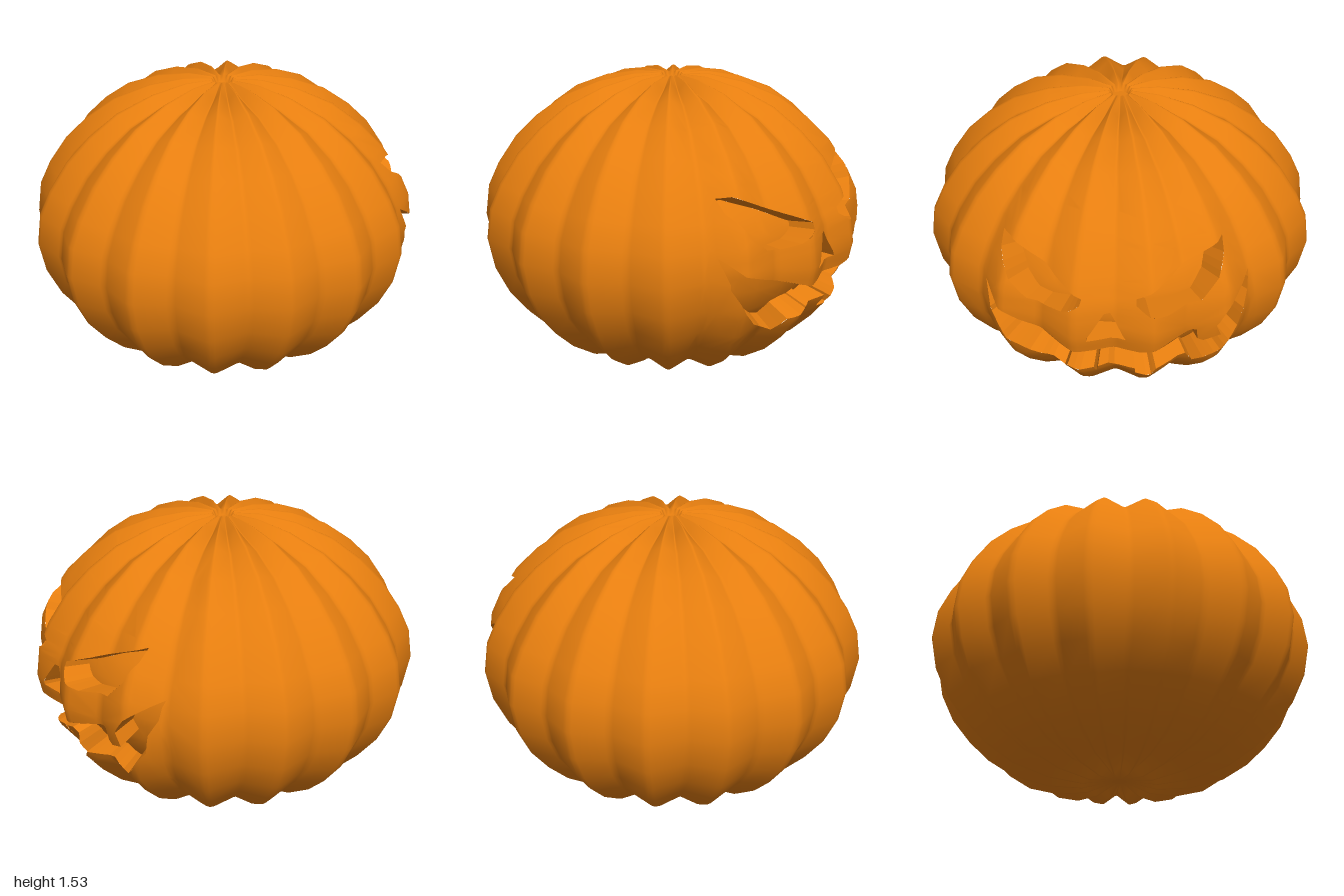
import * as THREE from 'three';

const MID = 0.75, H = Math.PI / 16, FLOOR = 0.83;
// Ridge profile from bottom to top: radius, height
const PROFILE = [[0.04, 0.03], [0.2, 0], [0.38, 0.02], [0.57, 0.085], [0.71, 0.18], [0.82, 0.29], [0.92, 0.42],
  [0.99, 0.57], [1.022, 0.74], [1.0, 0.9], [0.94, 1.03], [0.84, 1.18], [0.72, 1.3], [0.57, 1.41],
  [0.38, 1.49], [0.2, 1.53], [0.06, 1.53], [0.04, 1.495]];
const LAST = PROFILE.length - 1;

// Carved outlines in (z, y), seen from +x
const CARVINGS = {
  leftEye: [[0.54, 1.12], [0.5, 1.13], [0.15, 0.95], [0.16, 0.92], [0.25, 0.87], [0.34, 0.855], [0.42, 0.87], [0.51, 0.95], [0.55, 1.06]],
  rightEye: [[-0.51, 1.14], [-0.49, 1.13], [-0.11, 0.95], [-0.11, 0.92], [-0.18, 0.87], [-0.26, 0.855], [-0.42, 0.88], [-0.5, 0.98], [-0.52, 1.08]],
  nose: [[0.045, 0.86], [0.015, 0.86], [-0.06, 0.71], [0.13, 0.71], [0.13, 0.73]],
  mouth: [[0.635, 0.87], [0.57, 0.78], [0.35, 0.695], [0.19, 0.635], [-0.13, 0.635], [-0.385, 0.705], [-0.405, 0.7],
    [-0.41, 0.63], [-0.44, 0.615], [-0.525, 0.65], [-0.5, 0.72], [-0.555, 0.81], [-0.65, 0.92], [-0.65, 0.82],
    [-0.61, 0.63], [-0.53, 0.5], [-0.39, 0.38], [-0.385, 0.42], [-0.355, 0.485], [-0.21, 0.46], [-0.185, 0.42],
    [-0.19, 0.38], [-0.105, 0.38], [-0.105, 0.455], [0, 0.45], [0.03, 0.475], [0.08, 0.46], [0.09, 0.39],
    [0.1, 0.46], [0.235, 0.445], [0.255, 0.37], [0.43, 0.47], [0.54, 0.57], [0.61, 0.71]],
};

const clamp = THREE.MathUtils.clamp, lerp = THREE.MathUtils.lerp;

// Rib scale: valleys at multiples of 22.5 degrees, ridges between
function lobe(a) {
  const v = a / (2 * H), f = v - Math.floor(v);
  return 0.93 + 0.07 * clamp(1 - Math.abs(2 * f - 1), 0.06, 0.94);
}

// Surface point at azimuth a and profile position t
function point(a, t, scale) {
  t = clamp(t, 0, LAST);
  const i = Math.min(Math.floor(t), LAST - 1);
  const r = lerp(PROFILE[i][0], PROFILE[i + 1][0], t - i), y = lerp(PROFILE[i][1], PROFILE[i + 1][1], t - i);
  const s = scale ?? lerp(1, lobe(a), clamp((r - 0.04) / 0.16, 0, 1));
  return new THREE.Vector3(r * s * Math.cos(a), MID + (y - MID) * s, r * s * Math.sin(a));
}

function normal(a, t, scale) {
  const da = point(a + 0.025, t, scale).sub(point(a - 0.025, t, scale));
  const dt = point(a, t + 0.35, scale).sub(point(a, t - 0.35, scale));
  return dt.cross(da).normalize();
}

// Finds (a, t) of the surface point with the given z and y
function locate([z, y]) {
  let a = 0, t = 8;
  for (let k = 0; k < 25; k++) {
    const s = lobe(a), py = (y - MID) / s + MID;
    let i = 1;
    while (i < 14 && PROFILE[i + 1][1] < py) i++;
    const f = (py - PROFILE[i][1]) / (PROFILE[i + 1][1] - PROFILE[i][1]);
    t = i + f;
    a = lerp(a, Math.asin(clamp(z / (s * lerp(PROFILE[i][0], PROFILE[i + 1][0], f)), -1, 1)), 0.7);
  }
  return new THREE.Vector2(a, t);
}

// Subdivides an outline, lays it on the surface and makes it anticlockwise in (a, t)
function outline(points) {
  const out = [];
  points.forEach((p, i) => {
    const q = points[(i + 1) % points.length];
    const n = Math.ceil(Math.hypot(q[0] - p[0], q[1] - p[1]) / 0.04);
    for (let k = 0; k < n; k++) out.push(locate([lerp(p[0], q[0], k / n), lerp(p[1], q[1], k / n)]));
  });
  return THREE.ShapeUtils.isClockWise(out) ? out.reverse() : out;
}

// Cuts polygons in two along one coordinate
function slice(polys, axis, value) {
  const result = [];
  for (const poly of polys) {
    const sides = [[], []];
    poly.forEach((p, i) => {
      const q = poly[(i + 1) % poly.length], dp = p[axis] - value, dq = q[axis] - value;
      if (dp <= 1e-9) sides[0].push(p);
      if (dp >= -1e-9) sides[1].push(p);
      if (Math.abs(dp) > 1e-9 && Math.abs(dq) > 1e-9 && dp * dq < 0) {
        const c = p.clone().lerp(q, dp / (dp - dq));
        sides[0].push(c);
        sides[1].push(c);
      }
    });
    for (const s of sides) if (s.length > 2 && Math.abs(THREE.ShapeUtils.area(s)) > 1e-9) result.push(s);
  }
  return result;
}

// Azimuths of rib valleys, ridges and their rounded shoulders
function ribLines(from, to) {
  const lines = [];
  for (let k = from; k < to; k++) for (const f of [0, 0.12, 0.88]) lines.push((k + f) * H);
  return [...lines, to * H];
}

// Turns polygons in (a, t) into an outward-facing surface
function surface(polys, scale) {
  const pos = [], nor = [];
  for (const poly of polys) {
    const p = THREE.ShapeUtils.isClockWise(poly) ? poly : [...poly].reverse();
    for (let i = 1; i < p.length - 1; i++) for (const v of [p[0], p[i], p[i + 1]]) {
      pos.push(...point(v.x, v.y, scale).toArray());
      nor.push(...normal(v.x, v.y, scale).toArray());
    }
  }
  const g = new THREE.BufferGeometry();
  g.setAttribute('position', new THREE.Float32BufferAttribute(pos, 3));
  g.setAttribute('normal', new THREE.Float32BufferAttribute(nor, 3));
  return g;
}

// Triangulates an outline with holes and slices it along the ribs and profile rows
function patch(contour, holes) {
  const all = [contour, ...holes].flat();
  let polys = THREE.ShapeUtils.triangulateShape(contour, holes).map((f) => f.map((i) => all[i]));
  for (const a of ribLines(-5, 5)) polys = slice(polys, 'x', a);
  for (let t = 3; t <= 14; t++) polys = slice(polys, 'y', t);
  return polys;
}

// Side walls of a carving, from the skin to its floor
function wall(loop) {
  const pos = [];
  loop.forEach((p, i) => {
    const q = loop[(i + 1) % loop.length];
    const o1 = point(p.x, p.y), o2 = point(q.x, q.y), n1 = point(p.x, p.y, FLOOR), n2 = point(q.x, q.y, FLOOR);
    for (const v of [o1, n1, n2, o1, n2, o2]) pos.push(v.x, v.y, v.z);
  });
  const g = new THREE.BufferGeometry();
  g.setAttribute('position', new THREE.Float32BufferAttribute(pos, 3));
  g.computeVertexNormals();
  return g;
}

export function createModel() {
  const group = new THREE.Group();
  group.name = 'carvedPumpkin';
  const orange = new THREE.MeshStandardMaterial({ color: 0xe67e0f });
  orange.name = 'pumpkinOrange';
  const add = (name, geometry) => {
    const mesh = new THREE.Mesh(geometry, orange);
    mesh.name = name;
    group.add(mesh);
    return mesh;
  };
  const V = (a, t) => new THREE.Vector2(a, t);

  // Ribbed skin, leaving out the face area
  const cells = [], lines = ribLines(-16, 16);
  for (let i = 0; i < lines.length - 1; i++) for (let t = 0; t < LAST; t++) {
    const a = lines[i], b = lines[i + 1];
    if (Math.abs(a + b) / 2 < 5 * H && t >= 3 && t < 14) continue;
    cells.push([V(a, t), V(b, t), V(b, t + 1), V(a, t + 1)]);
  }
  add('ribbedSkin', surface(cells));

  // Face skin with holes, then walls and floor of each carving
  const loops = Object.entries(CARVINGS).map(([name, pts]) => [name, outline(pts)]);
  const frame = [V(-5 * H, 3), V(5 * H, 3), V(5 * H, 14), V(-5 * H, 14)];
  add('faceSkin', surface(patch(frame, loops.map((l) => [...l[1]].reverse()))));
  for (const [name, loop] of loops) {
    add(name + 'Wall', wall(loop));
    add(name + 'Floor', surface(patch(loop, []), FLOOR));
  }

  // Small discs closing the top and bottom
  for (const [name, y, turn] of [['topDisc', 1.495, -1], ['bottomDisc', 0.03, 1]]) {
    const disc = add(name, new THREE.CircleGeometry(0.041, 32));
    disc.rotation.x = turn * Math.PI / 2;
    disc.position.y = y;
  }
  return group;
}
